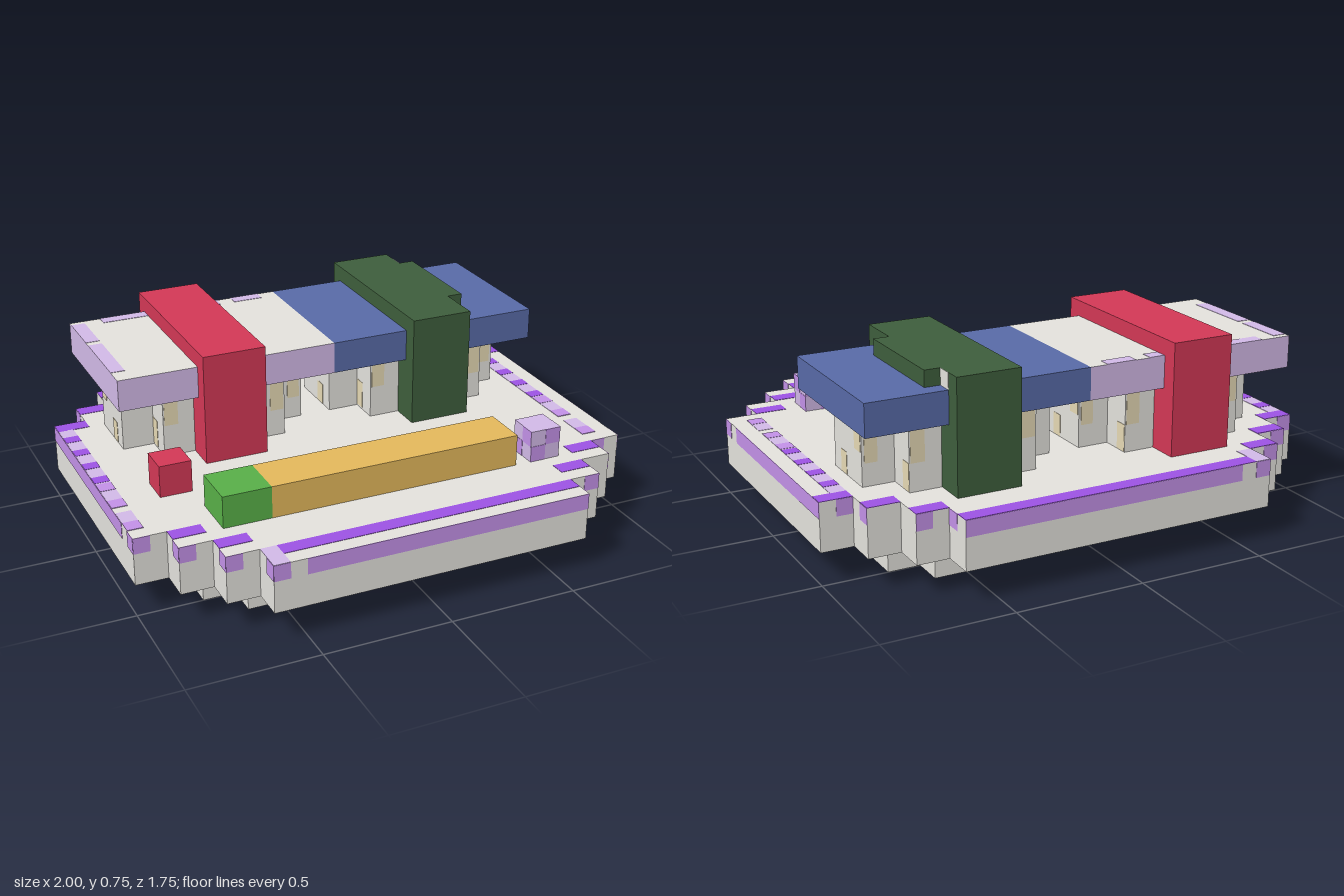
import * as THREE from 'three';

const mat = (name, color) => {
  const m = new THREE.MeshStandardMaterial({ color });
  m.name = name;
  return m;
};

export function createModel() {
  const stone = mat('pale stone', 0xe4e2dd);
  const mauve = mat('soft mauve', 0xd3bae8);
  const lilac = mat('lilac trim', 0xc593ea);
  const purple = mat('deep purple', 0x9d53e4);
  const red = mat('crimson', 0xd33856);
  const blue = mat('slate blue', 0x586aa7);
  const pine = mat('dark green', 0x3e5e3c);
  const green = mat('leaf green', 0x58af48);
  const ochre = mat('ochre', 0xe4b85b);
  const tan = mat('warm sand', 0xe6d9b4);

  const model = new THREE.Group();
  const group = (name) => {
    const g = new THREE.Group();
    g.name = name;
    model.add(g);
    return g;
  };

  // Box given by its limits on each axis
  const box = (name, material, [x0, x1], [y0, y1], [z0, z1], parent = model) => {
    const mesh = new THREE.Mesh(new THREE.BoxGeometry(x1 - x0, y1 - y0, z1 - z0), material);
    mesh.position.set((x0 + x1) / 2, (y0 + y1) / 2, (z0 + z1) / 2);
    mesh.name = name;
    parent.add(mesh);
  };
  // Thin painted plates centred on a surface
  const T = 0.0015;
  const skin = (v) => [v - T, v + T];
  const topPlate = (name, m, x, z, y, parent) => box(name, m, x, skin(y), z, parent);
  const zPlate = (name, m, x, y, z, parent) => box(name, m, x, y, skin(z), parent);
  const xPlate = (name, m, x, y, z, parent) => box(name, m, skin(x), y, z, parent);

  // Stepped outline extruded as a single solid; steps run from the wide side to the front
  const steppedSlab = (name, material, steps, y0, y1, cx, cz, parent) => {
    const quarter = [];
    steps.forEach(([x, z], i) => {
      if (i) quarter.push([x, steps[i - 1][1]]);
      quarter.push([x, z]);
    });
    const half = [...quarter, ...quarter.map(([x, z]) => [-x, z]).reverse()];
    const points = [...half, ...half.map(([x, z]) => [-x, -z])];
    const shape = new THREE.Shape(points.map(([x, z]) => new THREE.Vector2(x, z)));
    const geometry = new THREE.ExtrudeGeometry(shape, { depth: y1 - y0, bevelEnabled: false });
    geometry.rotateX(Math.PI / 2);
    const mesh = new THREE.Mesh(geometry, material);
    mesh.position.set(cx, y1, cz);
    mesh.name = name;
    parent.add(mesh);
  };

  // Platform: small foot and wide deck, both with sandy undersides
  const deck = 0.3125;
  const platform = group('platform');
  const deckSteps = [[1, 0.5], [0.875, 0.625], [0.75, 0.75], [0.625, 0.875]];
  steppedSlab('foot', [tan, stone], [[0.75, 0.5], [0.625, 0.625]], 0, 0.125, 0, 0, platform);
  steppedSlab('deckUnderside', [tan, stone], deckSteps, 0.125, 0.13, 0, 0, platform);
  steppedSlab('deck', stone, deckSteps, 0.13, deck, 0, 0, platform);

  // Lilac band round the deck edge
  const trim = group('edgeTrim');
  const band = [0.25, deck];
  for (const s of [1, -1]) {
    zPlate('longBand', lilac, [-0.5, 0.625], band, s * 0.875, trim);
    zPlate('longBandEnd', lilac, [-0.625, -0.5625], band, s * 0.875, trim);
    xPlate('sideBand', lilac, s, band, [-0.5, 0.375], trim);
    xPlate('sideBandEnd', lilac, s, band, [0.4375, 0.5], trim);
    for (const [x, z] of [[-1, 0.5], [-0.875, 0.625], [-0.75, 0.75], [0.6875, 0.75], [0.875, 0.5]]) {
      zPlate('stepBand', lilac, [x, x + 0.0625], band, s * z, trim);
    }
    for (const [z, x] of [[0.8125, 0.625], [0.6875, 0.75], [0.5625, 0.875], [-0.625, 0.875], [-0.8125, 0.625]]) {
      xPlate('stepBand', lilac, s * x, band, [z, z + 0.0625], trim);
    }
  }

  // Purple lines on top of the deck
  for (const z of [-0.875, 0.75]) {
    topPlate('topLine', purple, [-0.5625, 0.625], [z, z + 0.0625], deck, trim);
    topPlate('topLineEnd', mauve, [-0.625, -0.5625], [z, z + 0.125], deck, trim);
  }
  const corners = [[0.625, -0.75], [0.625, 0.625], [0.75, 0.5], [0.75, -0.625], [0.875, -0.5]];
  for (const [x, z] of corners) {
    topPlate('cornerMark', purple, [x, x + 0.125], [z, z + 0.0625], deck, trim);
    topPlate('cornerMark', purple, [-x - 0.125, -x], [z, z + 0.0625], deck, trim);
  }
  // Broken marks along both sides
  for (const x of [-1, 0.875]) {
    topPlate('sideLine', mauve, [x, x + 0.06], [-0.44, 0.26], deck, trim);
    topPlate('sideLine', mauve, [x, x + 0.06], [0.3, 0.43], deck, trim);
    for (const z of [-0.375, -0.25, -0.125, 0]) {
      topPlate('sideDash', purple, [x, x + 0.06], [z, z + 0.05], deck + 0.001, trim);
    }
    for (const z of [0.06, 0.2, 0.38]) {
      topPlate('sideDash', lilac, [x, x + 0.06], [z, z + 0.06], deck + 0.001, trim);
    }
  }

  // Two stepped towers under the roof, with sandy stains
  const cz = -0.3125;
  for (const s of [-1, 1]) {
    const tower = group(s > 0 ? 'leftTower' : 'rightTower');
    const cx = s * 0.4375;
    steppedSlab('towerCore', stone, [[0.375, 0.125], [0.25, 0.25]], deck, 0.5625, cx, cz, tower);
    for (const f of [-1, 1]) {
      zPlate('stain', tan, [cx - 0.245, cx - 0.19], [0.44, 0.56], cz + f * 0.25, tower);
      zPlate('stain', tan, [cx + 0.19, cx + 0.245], [0.42, 0.54], cz + f * 0.25, tower);
      zPlate('stain', tan, [cx + 0.315, cx + 0.365], [0.4, 0.55], cz + f * 0.125, tower);
      xPlate('stain', tan, cx + f * 0.25, [0.32, 0.43], [-0.185, -0.135], tower);
      xPlate('stain', tan, cx + f * 0.375, [0.315, 0.4], [-0.3, -0.25], tower);
      xPlate('stain', tan, cx + f * 0.375, [0.44, 0.56], [-0.43, -0.375], tower);
      xPlate('stain', tan, cx + f * 0.25, [0.315, 0.42], [-0.56, -0.51], tower);
    }
  }

  // Roof beam: mauve-sided stone half and blue half
  const roof = group('roof');
  box('paleRoof', [mauve, mauve, stone, mauve, mauve, mauve],
    [-0.875, 0], [0.5625, 0.6875], [-0.625, 0], roof);
  box('blueRoof', blue, [0, 0.875], [0.5625, 0.6875], [-0.625, 0], roof);
  for (const z of [[-0.6, -0.4], [-0.37, -0.08]]) {
    topPlate('roofPatch', mauve, [-0.875, -0.82], z, 0.6875, roof);
  }
  for (const x of [[-0.75, -0.5625], [-0.31, -0.25], [-0.19, -0.07]]) {
    topPlate('roofPatch', mauve, x, [-0.625, -0.575], 0.6875, roof);
  }

  // Straps wrapped over the roof
  box('redStrap', red, [-0.5625, -0.3125], [deck, 0.75], [-0.6875, 0.0625]);
  const strap = group('greenStrap');
  box('strapBody', pine, [0.3125, 0.5625], [deck, 0.75], [-0.6875, 0.0625], strap);
  box('strapTab', pine, [0.5625, 0.625], [0.6875, 0.75], [-0.5625, -0.125], strap);
  xPlate('strapPatch', stone, 0.5625, [0.6875, 0.75], [-0.625, -0.5625], strap);

  // Loose blocks on the deck
  const low = [deck, 0.4375];
  box('redCube', red, [-0.8125, -0.6875], low, [0.125, 0.25]);
  box('greenBlock', green, [-0.6875, -0.5], low, [0.375, 0.5625]);
  box('ochreBar', ochre, [-0.5, 0.5], low, [0.375, 0.5625]);
  const cube = group('mauveCube');
  box('cubeBody', mauve, [0.5625, 0.6875], low, [0.4375, 0.5625], cube);
  for (const [u, y] of [[0, 0.3125], [0.0625, 0.375]]) {
    const h = [y, y + 0.0625];
    for (const z of [0.4375, 0.5625]) zPlate('cubeCheck', lilac, [0.5625 + u, 0.625 + u], h, z, cube);
    for (const x of [0.5625, 0.6875]) xPlate('cubeCheck', lilac, x, h, [0.4375 + u, 0.5 + u], cube);
  }

  return model;
}
